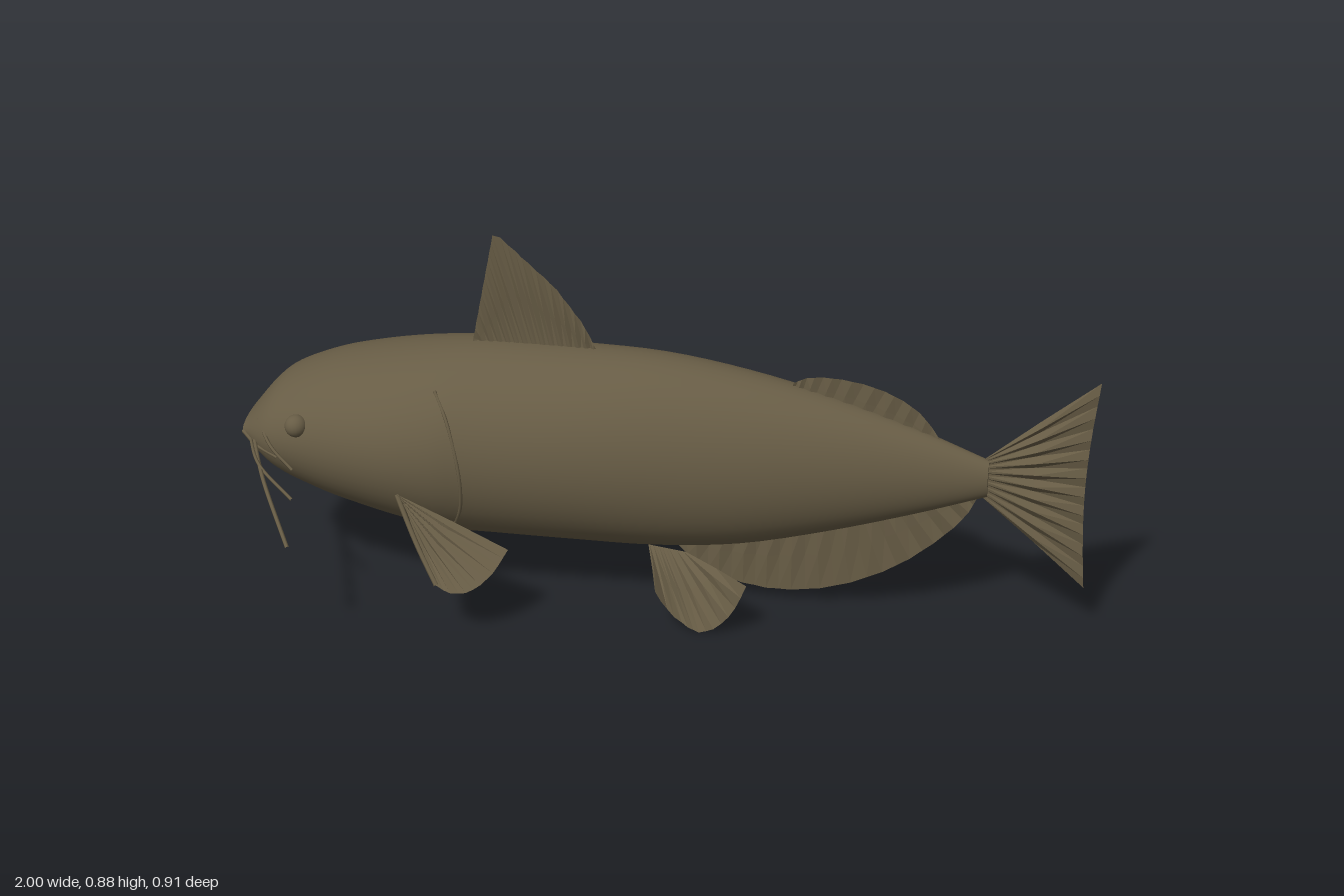
import * as THREE from 'three';

// body stations: x, top y, bottom y, half width
const STATIONS = [
  [-1, 0.41, 0.35, 0.112], [-0.95, 0.47, 0.29, 0.155], [-0.9, 0.51, 0.252, 0.18],
  [-0.8, 0.552, 0.212, 0.207], [-0.7, 0.577, 0.187, 0.23], [-0.6, 0.596, 0.163, 0.24],
  [-0.5, 0.61, 0.143, 0.235], [-0.4, 0.618, 0.138, 0.217], [-0.2, 0.62, 0.138, 0.2],
  [0, 0.618, 0.14, 0.177], [0.2, 0.592, 0.162, 0.148], [0.4, 0.548, 0.212, 0.107],
  [0.6, 0.486, 0.275, 0.06], [0.765, 0.425, 0.335, 0.026],
];
const V = (p, s = 1) => new THREE.Vector3(p[0], p[1], (p[2] || 0) * s);

export function createModel() {
  const skin = new THREE.MeshStandardMaterial({ color: 0x675c45 });
  const finSkin = new THREE.MeshStandardMaterial({ color: 0x675c45 });
  finSkin.name = 'finSkin';
  finSkin.side = THREE.DoubleSide;
  finSkin.flatShading = true;
  skin.name = 'skin';
  const model = new THREE.Group();
  const add = (name, geometry, material = skin) => {
    const mesh = new THREE.Mesh(geometry, material);
    mesh.name = name;
    model.add(mesh);
    return mesh;
  };

  // half width of the body at a given x and y
  const widthAt = (x, y) => {
    let i = 0;
    while (i < STATIONS.length - 2 && STATIONS[i + 1][0] < x) i++;
    const a = STATIONS[i], b = STATIONS[i + 1], t = (x - a[0]) / (b[0] - a[0]);
    const [top, bottom, w] = [1, 2, 3].map((k) => a[k] + (b[k] - a[k]) * t);
    const v = (2 * y - top - bottom) / (top - bottom);
    return w * Math.sqrt(Math.max(0, 1 - v * v));
  };

  // lofted body of elliptical rings
  const profile = new THREE.CatmullRomCurve3(STATIONS.map((s) => V([s[0], s[1], s[2]])), false, 'catmullrom', 0.5);
  const widths = new THREE.CatmullRomCurve3(STATIONS.map((s) => V([s[0], s[3]])), false, 'catmullrom', 0.5);
  const RINGS = 52, SIDES = 48, pos = [], index = [];
  for (let i = 0; i <= RINGS; i++) {
    const p = profile.getPoint(i / RINGS), w = widths.getPoint(i / RINGS).y;
    for (let j = 0; j < SIDES; j++) {
      const a = (j / SIDES) * Math.PI * 2;
      pos.push(p.x, (p.y + p.z) / 2 + Math.cos(a) * (p.y - p.z) / 2, Math.sin(a) * w);
      if (i === RINGS) continue;
      const k = i * SIDES + j, n = i * SIDES + (j + 1) % SIDES;
      index.push(k, n, k + SIDES, n, n + SIDES, k + SIDES);
    }
  }
  const bodyGeo = new THREE.BufferGeometry();
  bodyGeo.setAttribute('position', new THREE.Float32BufferAttribute(pos, 3));
  bodyGeo.setIndex(index);
  bodyGeo.computeVertexNormals();
  add('body', bodyGeo);

  // flat ends of snout and tail stem
  [[STATIONS[0], -1, 'snout'], [STATIONS[STATIONS.length - 1], 1, 'tailStem']].forEach(([s, dir, name]) => {
    const cap = new THREE.CircleGeometry(1, SIDES);
    cap.rotateY(dir * Math.PI / 2);
    cap.scale(1, (s[1] - s[2]) / 2, s[3]);
    cap.translate(s[0], (s[1] + s[2]) / 2, 0);
    add(name, cap);
  });

  // pleated fin between a root line and a rim curve
  const fin = (name, root, rim, rays, s = 1, smooth = true, depth = 0.004) => {
    const make = (pts) => (smooth
      ? new THREE.CatmullRomCurve3(pts.map((p) => V(p, s)), false, 'centripetal')
      : pts.reduce((path, p, i) => {
        if (i) path.add(new THREE.LineCurve3(V(pts[i - 1], s), V(p, s)));
        return path;
      }, new THREE.CurvePath()));
    const a = make(root), b = make(rim), verts = [], faces = [];
    for (let i = 0; i <= rays; i++) {
      const pleat = i % 2 ? depth : -depth;
      const r = a.getPoint(i / rays), t = b.getPoint(i / rays);
      const m = r.clone().lerp(t, 0.5);
      verts.push(r.x, r.y, r.z, m.x, m.y, m.z + pleat, t.x, t.y, t.z + pleat * 0.4);
      if (i < rays) {
        const k = i * 3;
        faces.push(k, k + 1, k + 3, k + 1, k + 4, k + 3, k + 1, k + 2, k + 4, k + 2, k + 5, k + 4);
      }
    }
    const g = new THREE.BufferGeometry();
    g.setAttribute('position', new THREE.Float32BufferAttribute(verts, 3));
    g.setIndex(faces);
    g.computeVertexNormals();
    add(name, g, finSkin);
  };

  // fins on the centre line
  fin('dorsalFin', [[-0.455, 0.59], [-0.15, 0.6]],
    [[-0.455, 0.6], [-0.395, 0.885], [-0.38, 0.88], [-0.25, 0.765], [-0.185, 0.68], [-0.15, 0.61]], 30, 1, false);
  fin('adiposeFin', [[0.3, 0.55], [0.66, 0.44]],
    [[0.3, 0.57], [0.34, 0.592], [0.42, 0.596], [0.52, 0.575], [0.6, 0.53], [0.66, 0.455]], 20, 1, true, 0.003);
  fin('analFin', [[0, 0.17], [0.4, 0.24], [0.75, 0.36]],
    [[0.02, 0.15], [0.1, 0.075], [0.2, 0.042], [0.3, 0.035], [0.42, 0.058], [0.55, 0.12], [0.65, 0.2], [0.72, 0.28], [0.75, 0.345]], 28);
  fin('tailFin', [[0.755, 0.43], [0.755, 0.33]],
    [[1, 0.64], [0.988, 0.5], [0.984, 0.38], [0.988, 0.26], [1, 0.12]], 20, 1, true, 0.006);

  const tube = (name, pts, radius, s) => add(name, new THREE.TubeGeometry(
    new THREE.CatmullRomCurve3(pts.map((p) => V(p, s)), false, 'centripetal'), 20, radius, 6));
  const onBody = (pts) => pts.map(([x, y]) => [x, y, widthAt(x, y)]);

  // paired parts
  for (const [side, s] of [['front', 1], ['back', -1]]) {
    fin(side + 'PectoralFin', [[-0.58, 0.315, 0.235], [-0.56, 0.27, 0.22]],
      [[-0.31, 0.205, 0.25], [-0.34, 0.16, 0.3], [-0.39, 0.128, 0.332], [-0.45, 0.135, 0.338], [-0.52, 0.21, 0.285]], 14, s);
    tube(side + 'PectoralSpine', [[-0.58, 0.31, 0.23], [-0.52, 0.215, 0.282], [-0.46, 0.14, 0.333]], 0.006, s);
    fin(side + 'PelvicFin', [[-0.01, 0.175, 0.1], [0.08, 0.165, 0.1]],
      [[0.025, 0.1, 0.19], [0.06, 0.05, 0.19], [0.1, 0.018, 0.19], [0.13, 0.005, 0.19], [0.17, 0.022, 0.19], [0.21, 0.07, 0.19], [0.24, 0.14, 0.19]], 14, s);

    // barbels
    tube(side + 'LongBarbel', [[-0.97, 0.38, 0.12], [-0.92, 0.357, 0.22], [-0.87, 0.34, 0.31], [-0.77, 0.265, 0.45]], 0.005, s);
    tube(side + 'ShortBarbel', [[-0.98, 0.375, 0.12], [-0.91, 0.357, 0.24], [-0.81, 0.31, 0.305]], 0.004, s);
    tube(side + 'NasalBarbel', [[-0.95, 0.425, 0.13], [-0.9, 0.385, 0.19], [-0.84, 0.34, 0.215]], 0.004, s);

    // eye, gill edge and mouth
    const eye = add(side + 'Eye', new THREE.SphereGeometry(0.027, 20, 14));
    eye.position.set(-0.835, 0.44, s * 0.182);
    tube(side + 'GillEdge', onBody([[-0.5, 0.55], [-0.46, 0.49], [-0.43, 0.37], [-0.435, 0.28], [-0.46, 0.22]]), 0.004, s);
    tube(side + 'Mouth', onBody([[-0.997, 0.38], [-0.95, 0.365], [-0.89, 0.35]]), 0.005, s);
  }
  return model;
}
